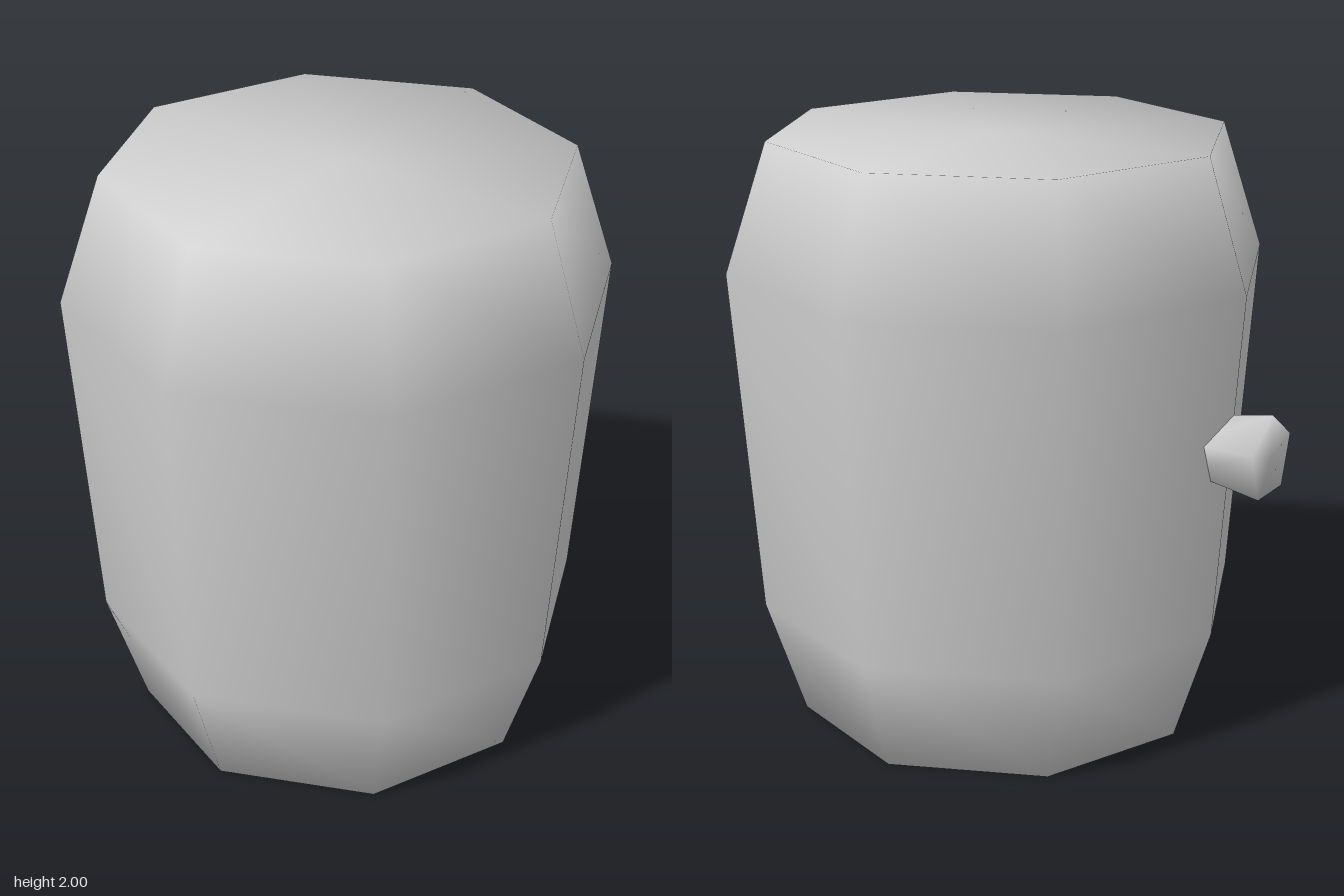
import * as THREE from 'three';
import { mergeVertices } from 'three/addons/utils/BufferGeometryUtils.js';

// Closed turned solid whose smooth normals run over the rims as well
function turned(profile, sides) {
  const points = profile.map(([r, y]) => new THREE.Vector2(r, y));
  const lathe = new THREE.LatheGeometry(points, sides);
  lathe.deleteAttribute('normal');
  lathe.deleteAttribute('uv');
  const geometry = mergeVertices(lathe, 1e-4);
  geometry.computeVertexNormals();
  return geometry;
}

export function createModel() {
  const group = new THREE.Group();
  group.name = 'barrel';
  const grey = new THREE.MeshStandardMaterial({ color: 0xcccccc });
  grey.name = 'light grey';

  // Eight-sided body, widest near the shoulder
  const body = new THREE.Mesh(
    turned([[0, 0], [0.695, 0], [0.825, 0.4], [0.912, 1.57], [0.77, 2], [0, 2]], 8), grey);
  body.name = 'body';
  body.position.z = 0.05;
  group.add(body);

  // Five-sided flared plug on the back
  const plugGeometry = turned([[0, 0.7], [0.098, 0.7], [0.145, 0.967], [0, 0.967]], 5);
  plugGeometry.rotateX(-Math.PI / 2);
  const plug = new THREE.Mesh(plugGeometry, grey);
  plug.name = 'plug';
  plug.position.y = 1.056;
  group.add(plug);

  return group;
}
